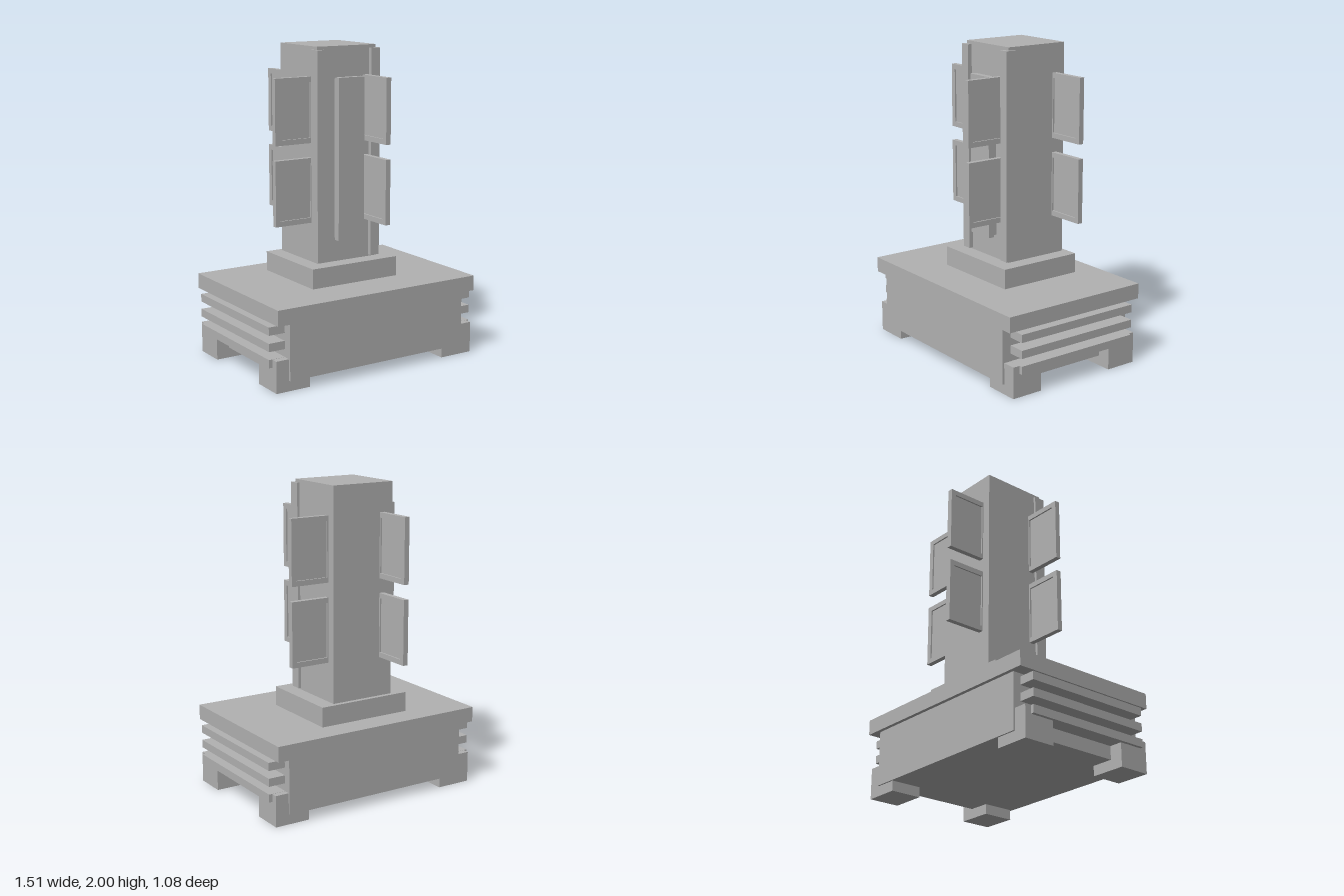
import * as THREE from 'three';

export function createModel() {
  const model = new THREE.Group();
  const grey = new THREE.MeshStandardMaterial({ color: 0xb2b2b2 });
  grey.name = 'plain grey';

  // Box given by its limits on each axis
  function box(name, [x0, x1], [y0, y1], [z0, z1], parent = model) {
    const mesh = new THREE.Mesh(new THREE.BoxGeometry(x1 - x0, y1 - y0, z1 - z0), grey);
    mesh.position.set((x0 + x1) / 2, (y0 + y1) / 2, (z0 + z1) / 2);
    mesh.name = name;
    parent.add(mesh);
    return mesh;
  }

  // Base
  box('baseBody', [-0.645, 0.643], [0.065, 0.42], [-0.455, 0.525]);
  box('baseTop', [-0.733, 0.731], [0.42, 0.518], [-0.48, 0.538]);
  for (const s of [-1, 1]) {
    const sideX = (a, b) => (s > 0 ? [a, b] : [-b, -a]);
    box('foot', sideX(0.5, 0.732), [0, 0.2], [0.303, 0.512]);
    box('foot', sideX(0.5, 0.732), [0, 0.2], [-0.445, -0.238]);
    for (const y of [0.15, 0.25, 0.35]) {
      box('sideSlat', sideX(0.63, 0.754), [y, y + 0.051], [-0.403, 0.465]);
    }
    // Corner strips on the front of the column
    box('cornerStrip', sideX(0.167, 0.232), [0.655, 1.98], [0.107, 0.181]);
  }

  // Column
  box('plinth', [-0.317, 0.314], [0.518, 0.645], [-0.31, 0.258]);
  box('column', [-0.217, 0.215], [0.645, 2], [-0.28, 0.153]);

  // Raised panel on the column front
  box('panelBacking', [-0.09, 0.086], [0.8, 1.8], [0.15, 0.176]);
  box('frontPanel', [-0.098, 0.092], [0.788, 1.81], [0.174, 0.214]);

  // Framed sign boards, one pair on each side in a pinwheel
  const W = 0.285, H = 0.412, T = 0.034, RIM = 0.033;
  const outline = new THREE.Shape([
    new THREE.Vector2(0, 0), new THREE.Vector2(W, 0),
    new THREE.Vector2(W, H), new THREE.Vector2(0, H),
  ]);
  outline.holes.push(new THREE.Path([
    new THREE.Vector2(RIM, RIM), new THREE.Vector2(RIM, H - RIM),
    new THREE.Vector2(W - RIM, H - RIM), new THREE.Vector2(W - RIM, RIM),
  ]));
  const frameGeometry = new THREE.ExtrudeGeometry(outline, { depth: T, bevelEnabled: false });
  frameGeometry.translate(0, 0, -T / 2);

  // Board root position and heading
  const mounts = [
    ['left', 0.19, -0.207, 0],
    ['right', -0.193, 0.073, Math.PI],
    ['front', 0.137, 0.125, -Math.PI / 2],
    ['back', -0.142, -0.255, Math.PI / 2],
  ];
  for (const [side, x, z, turn] of mounts) {
    for (const y of [0.898, 1.403]) {
      const board = new THREE.Group();
      board.name = side + 'Board';
      const frame = new THREE.Mesh(frameGeometry, grey);
      frame.name = 'boardFrame';
      board.add(frame);
      box('boardPanel', [RIM - 0.005, W - RIM + 0.005], [RIM - 0.005, H - RIM + 0.005], [-0.007, 0.007], board);
      board.position.set(x, y, z);
      board.rotation.y = turn;
      model.add(board);
    }
  }
  return model;
}
